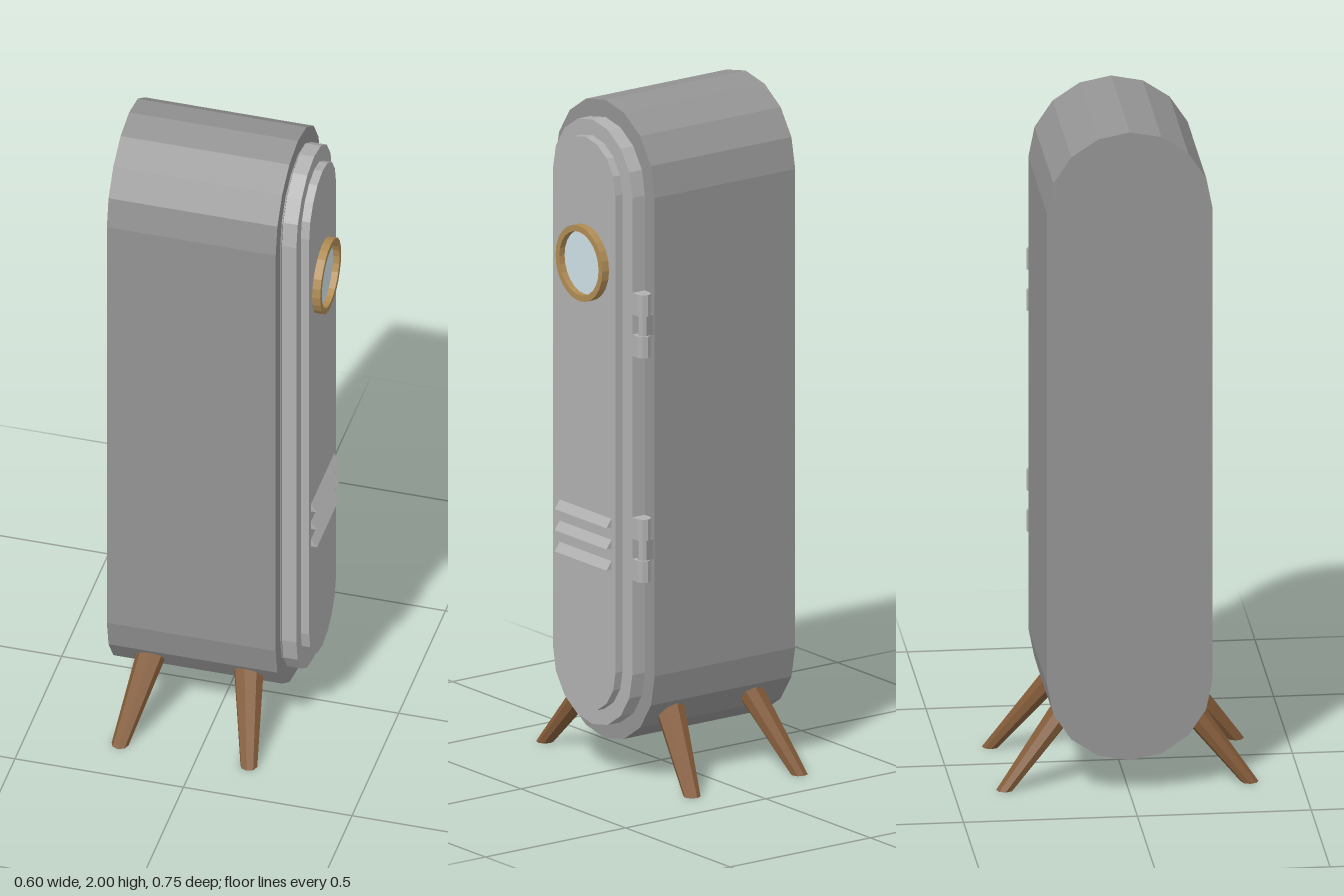
import * as THREE from 'three';

const mat = (color) => new THREE.MeshStandardMaterial({ color, flatShading: true });
const bodyGrey = mat(0x949494);
const doorGrey = mat(0xb1b1b1);
const wood = mat(0x845c3a);
const brass = mat(0xb08c55);
const glass = mat(0xcfe2e8);

function add(parent, name, geometry, material) {
  const mesh = new THREE.Mesh(geometry, material);
  mesh.name = name;
  parent.add(mesh);
  return mesh;
}

// Upright rounded slab, extruded along x from x0 to x1, with eight facets per end
function slab(r, y0, y1, x0, x1) {
  const s = new THREE.Shape();
  s.absarc(0, y1 - r, r, 0, Math.PI, false);
  s.absarc(0, y0 + r, r, Math.PI, Math.PI * 2, false);
  s.closePath();
  const g = new THREE.ExtrudeGeometry(s, { depth: x1 - x0, bevelEnabled: false, curveSegments: 4 });
  return g.rotateY(Math.PI / 2).translate(x0, 0, 0);
}

// Tapered peg whose cross-sections slide outward towards the floor
function leg(sx, sz) {
  const h = 0.26;
  const g = new THREE.CylinderGeometry(0.048, 0.025, h, 8).translate(0, h / 2, 0);
  const p = g.attributes.position;
  for (let i = 0; i < p.count; i++) {
    const y = p.getY(i);
    const x = p.getX(i) - 0.038 + sx * (0.191 - 0.22 * y);
    p.setXYZ(i, x, y, p.getZ(i) + sz * (0.352 - 0.79 * y));
  }
  g.computeVertexNormals();
  return g;
}

// Knuckle plan: square against the door, rounded on the outer side
function knuckle(r, height, y) {
  const s = new THREE.Shape();
  s.moveTo(r, -0.035);
  s.lineTo(r, 0);
  s.absarc(0, 0, r, 0, Math.PI, false);
  s.lineTo(-r, -0.035);
  s.closePath();
  const g = new THREE.ExtrudeGeometry(s, { depth: height, bevelEnabled: false, curveSegments: 2 });
  return g.rotateX(-Math.PI / 2).translate(0.226, y - height / 2, -0.214);
}

export function createModel() {
  const model = new THREE.Group();
  model.name = 'cabinet';

  // Body with a thin seat behind the door
  add(model, 'body', slab(0.238, 0.1, 2.0, -0.3, 0.201), bodyGrey);
  add(model, 'doorSeat', slab(0.19, 0.15, 1.95, 0.195, 0.205), bodyGrey);

  // Door and raised panel, set slightly towards the hinge side
  const door = new THREE.Group();
  door.name = 'doorAssembly';
  door.position.z = -0.004;
  model.add(door);
  add(door, 'door', slab(0.19, 0.15, 1.95, 0.203, 0.248), doorGrey);
  add(door, 'doorPanel', slab(0.143, 0.197, 1.903, 0.24, 0.273), doorGrey);

  // Round window
  const ring = new THREE.Shape().absarc(0, 0, 0.112, 0, Math.PI * 2, false);
  ring.holes.push(new THREE.Path().absarc(0, 0, 0.094, 0, Math.PI * 2, true));
  const frame = new THREE.ExtrudeGeometry(ring, { depth: 0.029, bevelEnabled: false, curveSegments: 12 });
  add(door, 'windowFrame', frame.rotateY(Math.PI / 2).translate(0.268, 1.53, 0), brass);
  const pane = new THREE.CylinderGeometry(0.096, 0.096, 0.012, 24).rotateZ(-Math.PI / 2);
  add(door, 'windowGlass', pane.translate(0.272, 1.53, 0), glass);

  // Wedge vent slats
  const wedge = new THREE.Shape();
  wedge.moveTo(0.262, 0);
  wedge.lineTo(0.291, 0);
  wedge.lineTo(0.272, 0.027);
  wedge.lineTo(0.262, 0.027);
  wedge.closePath();
  for (const y of [0.643, 0.706, 0.769]) {
    const slat = new THREE.ExtrudeGeometry(wedge, { depth: 0.248, bevelEnabled: false });
    add(door, 'ventSlat', slat.translate(0, y, -0.124), doorGrey);
  }

  // Hinges: two door knuckles with a slimmer pin and body tab between
  for (const y of [1.384, 0.716]) {
    const hinge = new THREE.Group();
    hinge.name = 'hinge';
    add(hinge, 'upperKnuckle', knuckle(0.022, 0.064, y + 0.062), doorGrey);
    add(hinge, 'lowerKnuckle', knuckle(0.022, 0.064, y - 0.062), doorGrey);
    add(hinge, 'pin', new THREE.CylinderGeometry(0.015, 0.015, 0.08, 8).translate(0.226, y, -0.213), doorGrey);
    add(hinge, 'bodyTab', new THREE.BoxGeometry(0.03, 0.06, 0.03).translate(0.211, y, -0.213), bodyGrey);
    door.add(hinge);
  }

  // Splayed legs
  for (const sx of [-1, 1]) for (const sz of [-1, 1]) add(model, 'leg', leg(sx, sz), wood);

  return model;
}
